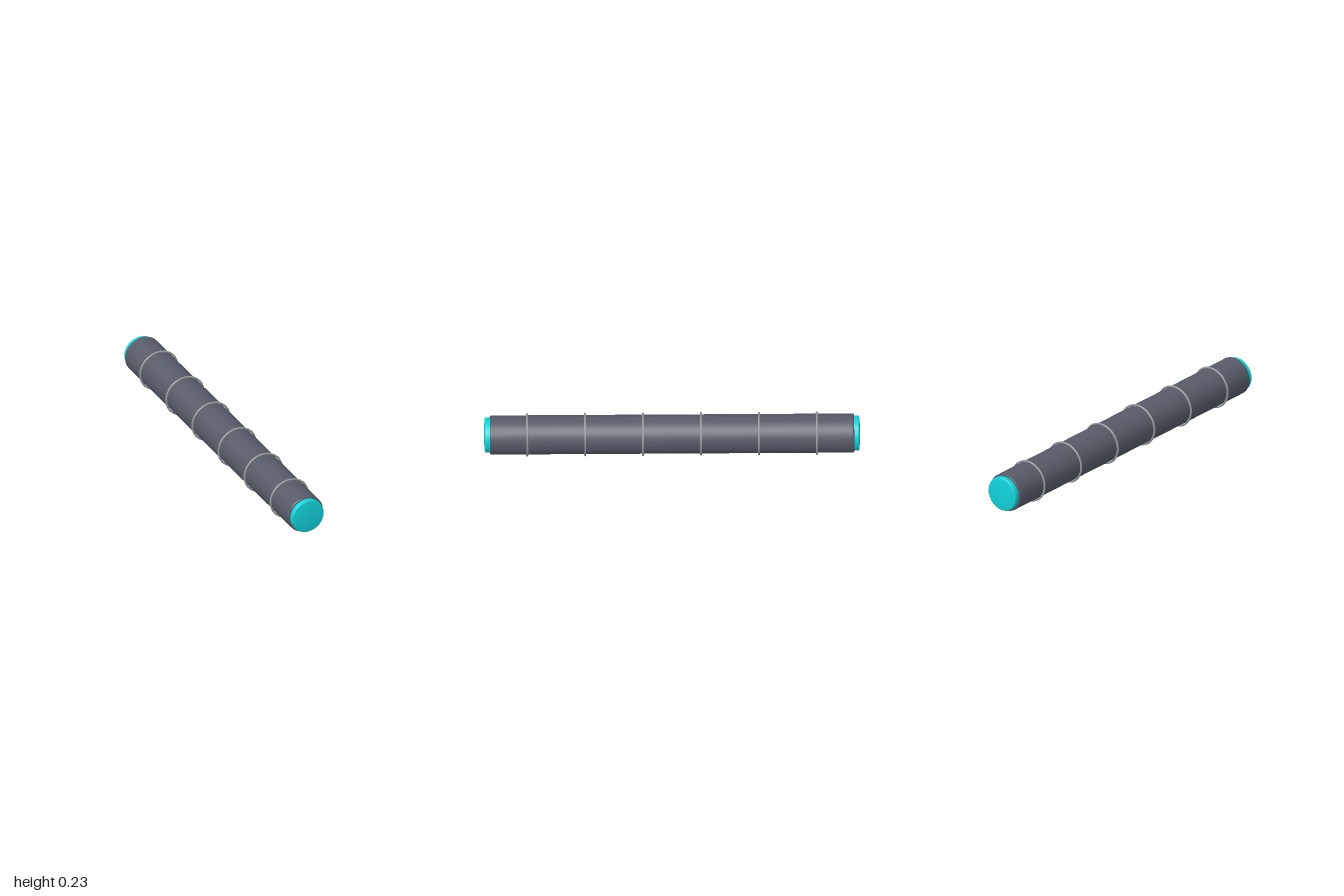
import * as THREE from 'three';

const CENTER_Y = 0.1165;

export function createModel() {
  const casing = new THREE.MeshStandardMaterial({ color: 0x565b68 });
  casing.name = 'slate casing';
  const metal = new THREE.MeshStandardMaterial({ color: 0x96989c });
  metal.name = 'grey metal';
  const cyan = new THREE.MeshStandardMaterial({ color: 0x10d2da });
  cyan.name = 'cyan cap';

  const model = new THREE.Group();
  model.name = 'ringedTube';
  const add = (name, geometry, material, z = 0) => {
    const mesh = new THREE.Mesh(geometry, material);
    mesh.name = name;
    mesh.position.set(0, CENTER_Y, z);
    model.add(mesh);
    return mesh;
  };
  // Turns a [radius, z] profile around the z axis
  const turned = (points) =>
    new THREE.LatheGeometry(points.map(([r, z]) => new THREE.Vector2(r, z)), 48).rotateX(Math.PI / 2);

  // Long casing with softly chamfered ends
  const bodyLength = 0.968;
  add('casing', turned([
    [0.08, -bodyLength], [0.099, -bodyLength], [0.102, -bodyLength + 0.002], [0.104, -bodyLength + 0.007],
    [0.104, -bodyLength + 0.01], [0.104, bodyLength - 0.01],
    [0.104, bodyLength - 0.007], [0.102, bodyLength - 0.002], [0.099, bodyLength], [0.08, bodyLength],
  ]), casing);

  // Shallow domed caps at both ends
  const capGeometry = turned([
    [0.094, 0.95], [0.094, 0.985], [0.094, 0.99], [0.0925, 0.9935],
    [0.089, 0.995], [0.07, 0.997], [0.04, 0.9992], [0, 1],
  ]);
  add('frontCap', capGeometry, cyan);
  add('backCap', capGeometry, cyan).rotation.y = Math.PI;

  // Six evenly spaced raised rings
  const ringGeometry = new THREE.TorusGeometry(0.1105, 0.0055, 10, 48);
  for (let i = 0; i < 6; i++) {
    add(`ring${i + 1}`, ringGeometry, metal, (i - 2.5) * 0.308);
  }
  return model;
}
